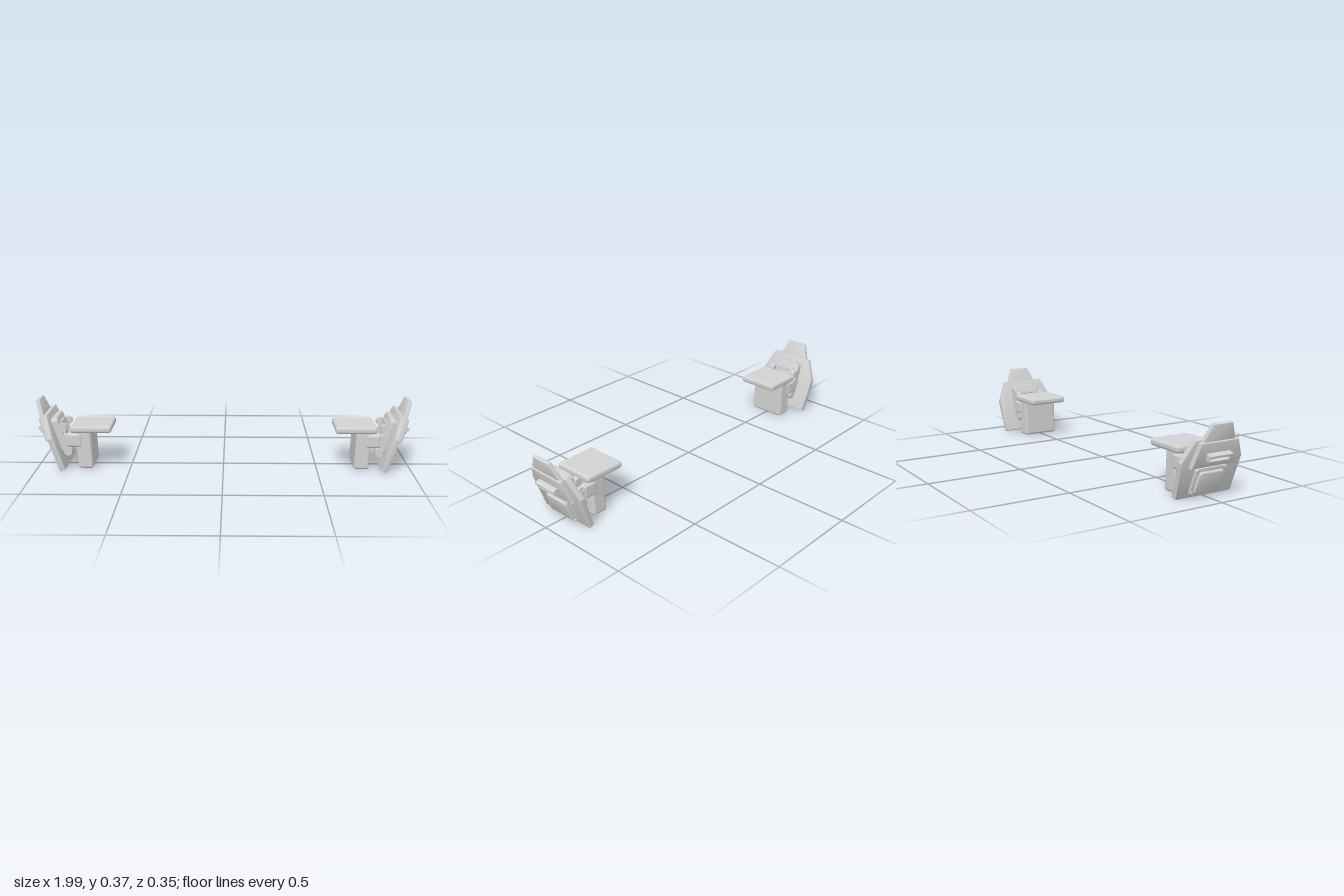
import * as THREE from 'three';
import { RoundedBoxGeometry } from 'three/addons/geometries/RoundedBoxGeometry.js';
import { toCreasedNormals } from 'three/addons/utils/BufferGeometryUtils.js';

const TILT = 0.314;

// Mirror-symmetric outline from half-profile points [half width, height], bottom to top
function outline(half) {
  const right = half.map(([w, v]) => new THREE.Vector2(w, v));
  const left = half.map(([w, v]) => new THREE.Vector2(-w, v)).reverse();
  return [...right, ...left];
}

// Plate with chamfered edges between depths n0 and n1
function plate(name, half, n0, n1, bevel, mat, holeHalf) {
  const shape = new THREE.Shape(outline(half));
  if (holeHalf) shape.holes.push(new THREE.Path(outline(holeHalf).reverse()));
  const geo = new THREE.ExtrudeGeometry(shape, {
    depth: n1 - n0 - 2 * bevel, bevelThickness: bevel,
    bevelSize: bevel, bevelOffset: -bevel, bevelSegments: 2,
  });
  geo.translate(0, 0, n0 + bevel);
  const mesh = new THREE.Mesh(toCreasedNormals(geo, 0.5), mat);
  mesh.name = name;
  return mesh;
}

function box(name, x0, x1, y0, y1, z0, z1, r, mat) {
  const mesh = new THREE.Mesh(new RoundedBoxGeometry(x1 - x0, y1 - y0, z1 - z0, 3, r), mat);
  mesh.position.set((x0 + x1) / 2, (y0 + y1) / 2, (z0 + z1) / 2);
  mesh.name = name;
  return mesh;
}

// Cylinder lying along z
function pin(name, x, y, z, r, length, mat) {
  const mesh = new THREE.Mesh(new THREE.CylinderGeometry(r, r, length, 20), mat);
  mesh.rotation.x = Math.PI / 2;
  mesh.position.set(x, y, z);
  mesh.name = name;
  return mesh;
}

function buildShield(mat) {
  const face = new THREE.Group();
  face.rotation.y = Math.PI / 2;
  face.add(
    plate('backPlate', [[0.161, -0.003], [0.175, 0.185], [0.121, 0.3]], 0, 0.03, 0.003, mat),
    plate('upperGuard', [[0.1, 0.27], [0.094, 0.29], [0.055, 0.381]], 0.024, 0.046, 0.004, mat),
    plate('middleGuard', [[0.132, 0.166], [0.107, 0.295]], 0.028, 0.054, 0.008, mat),
    plate('hatchFrame', [[0.09, 0.019], [0.096, 0.026], [0.09, 0.148], [0.082, 0.156]], 0.028, 0.042, 0.004, mat),
    plate('hatchPanel', [[0.074, 0.03], [0.08, 0.038], [0.071, 0.129], [0.062, 0.138]], 0.038, 0.056, 0.006, mat),
    plate('handleFrame', [[0.062, 0.205], [0.062, 0.238]], 0.05, 0.078, 0.002, mat, [[0.055, 0.211], [0.055, 0.23]]),
    plate('handleLip', [[0.067, 0.228], [0.067, 0.241]], 0.05, 0.084, 0.003, mat),
    // inner mounting layers
    plate('mountPanel', [[0.072, 0.06], [0.088, 0.085], [0.086, 0.25], [0.072, 0.267]], -0.035, 0.002, 0.007, mat),
    plate('mountFrame', [[0.062, 0.085], [0.062, 0.235]], -0.045, -0.033, 0.004, mat, [[0.042, 0.11], [0.042, 0.21]]),
  );
  // corner bolts of the hatch
  for (const s of [-1, 1]) {
    for (const [w, v] of [[0.086, 0.031], [0.081, 0.145]]) {
      const bolt = new THREE.Mesh(new THREE.CylinderGeometry(0.007, 0.007, 0.012, 12), mat);
      bolt.rotation.x = Math.PI / 2;
      bolt.position.set(s * w, v, 0.043);
      bolt.name = 'hatchBolt';
      face.add(bolt);
    }
  }
  const shield = new THREE.Group();
  shield.name = 'shield';
  shield.add(face);
  shield.rotation.z = -TILT;
  shield.position.set(0.837, 0.015, 0);
  return shield;
}

function buildSide(name, mat) {
  const side = new THREE.Group();
  side.name = name;
  side.add(
    buildShield(mat),
    box('topPlate', 0.595, 0.815, 0.2, 0.237, -0.112, 0.112, 0.014, mat),
    pin('hingePin', 0.83, 0.157, 0, 0.022, 0.2, mat),
  );

  // hanging block, leaning slightly inward toward the bottom
  const block = box('hangingBlock', 0.701, 0.783, 0.001, 0.21, -0.1, 0.1, 0.014, mat);
  const pos = block.geometry.attributes.position;
  for (let i = 0; i < pos.count; i++) pos.setX(i, pos.getX(i) + 0.04 * pos.getY(i));
  side.add(block);

  // hinge arms at both ends
  for (const s of [-1, 1]) {
    const z0 = s * 0.085 - 0.02, z1 = s * 0.085 + 0.02;
    side.add(
      box('hingeArm', 0.755, 0.835, 0.12, 0.195, z0, z1, 0.014, mat),
      pin('hingeKnuckle', 0.842, 0.16, s * 0.08, 0.03, 0.03, mat),
      pin('lowerLug', 0.832, 0.092, s * 0.075, 0.022, 0.03, mat),
      pin('upperLug', 0.856, 0.222, s * 0.075, 0.022, 0.03, mat),
    );
  }
  return side;
}

export function createModel() {
  const grey = new THREE.MeshStandardMaterial({ color: 0xd2d2d2 });
  grey.name = 'lightGrey';
  const model = new THREE.Group();
  model.name = 'shoulderGuards';
  const left = buildSide('leftGuard', grey);
  const right = buildSide('rightGuard', grey);
  right.rotation.y = Math.PI;
  model.add(left, right);
  return model;
}
